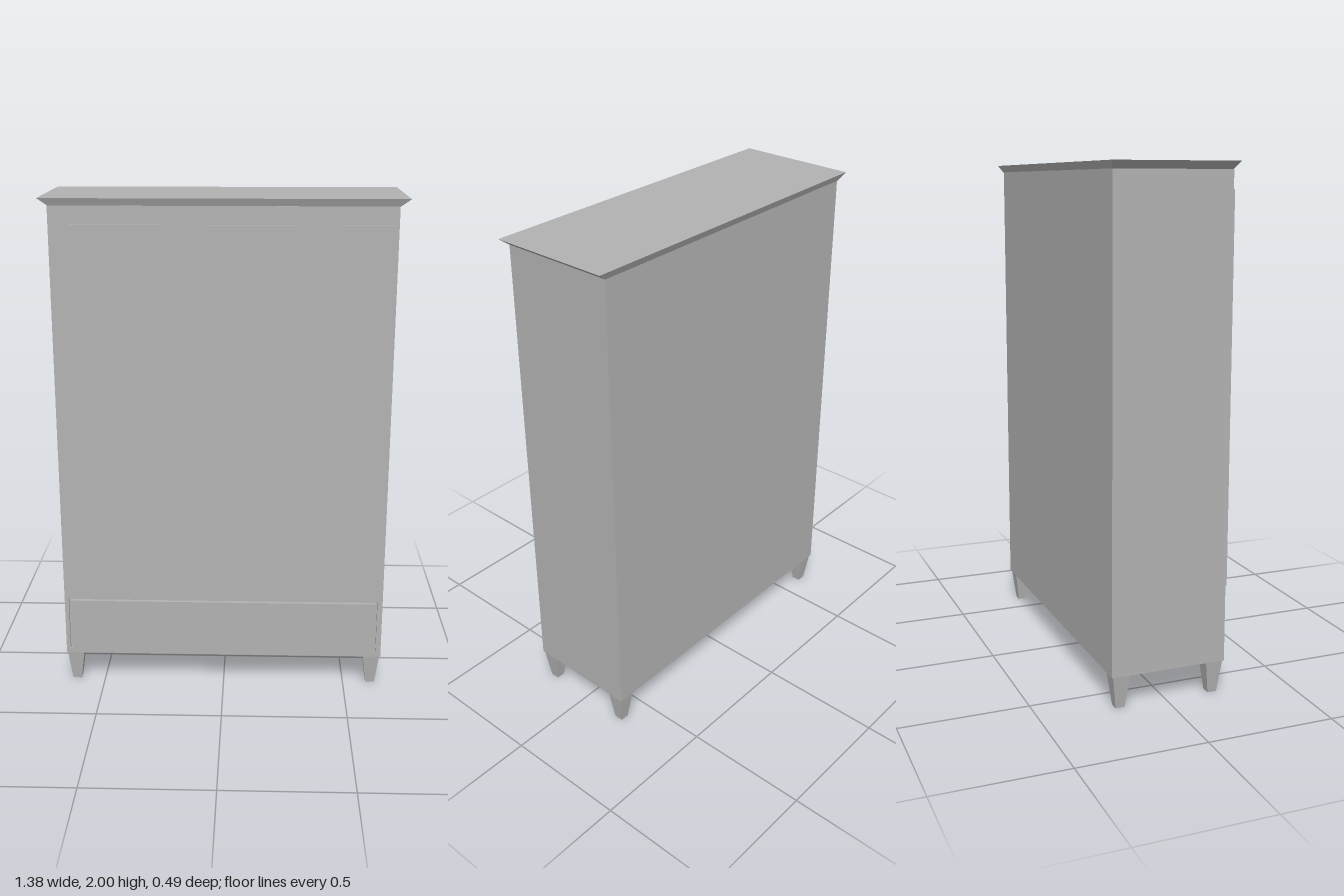
import * as THREE from 'three';

const grey = new THREE.MeshStandardMaterial({ color: 0xb2b2b2 });
grey.name = 'grey paint';

export function createModel() {
  const wardrobe = new THREE.Group();
  wardrobe.name = 'wardrobe';

  const add = (name, geometry) => {
    const mesh = new THREE.Mesh(geometry, grey);
    mesh.name = name;
    wardrobe.add(mesh);
    return mesh;
  };

  // Box given by its limits on each axis
  const box = (name, x0, x1, y0, y1, z0, z1) =>
    add(name, new THREE.BoxGeometry(x1 - x0, y1 - y0, z1 - z0))
      .position.set((x0 + x1) / 2, (y0 + y1) / 2, (z0 + z1) / 2);

  // Box whose bottom face has its own width and depth
  const taper = (name, topW, topD, bottomW, bottomD, height, x, y, z) => {
    const g = new THREE.BoxGeometry(topW, height, topD).toNonIndexed();
    const p = g.attributes.position;
    for (let i = 0; i < p.count; i++) {
      if (p.getY(i) < 0) {
        p.setX(i, Math.sign(p.getX(i)) * bottomW / 2);
        p.setZ(i, Math.sign(p.getZ(i)) * bottomD / 2);
      }
    }
    g.computeVertexNormals();
    add(name, g).position.set(x, y + height / 2, z);
  };

  // Carcass
  box('body', -0.655, 0.652, 0.13, 1.972, -0.228, 0.222);

  // Front frame with an opening for the drawer
  const frame = new THREE.Shape([
    [-0.655, 0.13], [0.652, 0.13], [0.652, 1.972], [-0.655, 1.972],
  ].map(([x, y]) => new THREE.Vector2(x, y)));
  frame.holes.push(new THREE.Path([
    [-0.638, 0.15], [-0.638, 0.378], [0.631, 0.378], [0.631, 0.15],
  ].map(([x, y]) => new THREE.Vector2(x, y))));
  add('frontFrame', new THREE.ExtrudeGeometry(frame, { depth: 0.011, bevelEnabled: false }))
    .position.z = 0.222;

  // Drawer set in its opening, and the overlaid door panel
  box('drawerFront', -0.629, 0.624, 0.15, 0.369, 0.222, 0.238);
  box('door', -0.645, 0.636, 0.427, 1.903, 0.233, 0.243);

  // Flared cornice
  taper('cornice', 1.382, 0.486, 1.307, 0.461, 0.028, 0, 1.972, 0);

  // Tapered feet
  for (const x of [-0.618, 0.614]) {
    for (const z of [-0.188, 0.193]) {
      taper('foot', 0.069, 0.069, 0.036, 0.036, 0.13, x, 0, z);
    }
  }

  return wardrobe;
}
